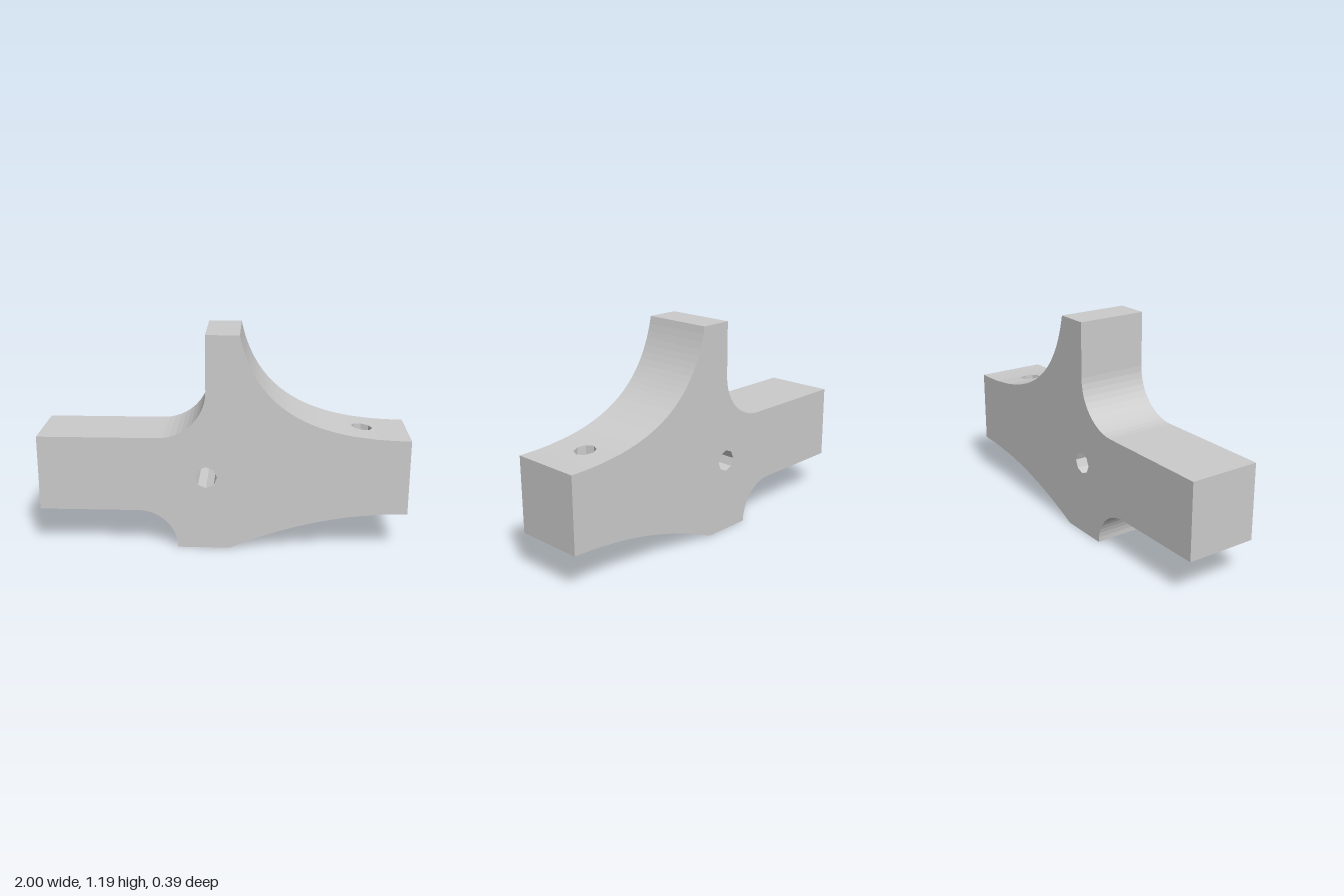
import * as THREE from 'three';
import { mergeGeometries } from 'three/addons/utils/BufferGeometryUtils.js';

const HALF = 0.197;                       // half thickness
const X0 = 0.69, X1 = 0.82;               // strip of the arm pierced by the upright bore
const TOP = [0.653, 0.637], BOTTOM = [0.193, 0.207];
const BORE = { x: 0.755, z: -0.008, r: 0.058 };

const V = (x, y) => new THREE.Vector2(x, y);
const heightAt = (ends, x) => THREE.MathUtils.mapLinear(x, X0, X1, ends[0], ends[1]);
const octagon = (x, y, r) => Array.from({ length: 8 }, (_, i) =>
  V(x + r * Math.cos(i * Math.PI / 4), y + r * Math.sin(i * Math.PI / 4)));

// Points of an arc about a centre
function arc(cx, cy, r, from, to, n = 12) {
  return Array.from({ length: n + 1 }, (_, i) => {
    const a = from + (to - from) * i / n;
    return V(cx + r * Math.cos(a), cy + r * Math.sin(a));
  });
}

// Curve points running left to right, with one straight step across the bore strip
function withStrip(points, ends) {
  return [
    ...points.filter(p => p.x < X0 - 0.005),
    V(X0, ends[0]), V(X1, ends[1]),
    ...points.filter(p => p.x > X1 + 0.005),
  ];
}

// Extruded profile, left open where the bore strips go
function bodyGeometry() {
  const upper = new THREE.CubicBezierCurve(V(0.09, 1.19), V(0.17, 0.81), V(0.45, 0.63), V(1, 0.63));
  const lower = new THREE.QuadraticBezierCurve(V(0.04, 0), V(0.52, 0.215), V(1, 0.215));
  const shape = new THREE.Shape([
    ...withStrip(lower.getPoints(24), BOTTOM),
    ...withStrip(upper.getPoints(28), TOP).reverse(),
    V(-0.09, 1.19),
    ...arc(-0.35, 0.89, 0.26, 0, -Math.PI / 2),
    V(-1, 0.63), V(-1, 0.215),
    ...arc(-0.46, 0, 0.215, Math.PI / 2, 0),
  ]);
  shape.holes.push(new THREE.Path(octagon(-0.09, 0.41, 0.06)));
  const solid = new THREE.ExtrudeGeometry(shape, { depth: 2 * HALF, bevelEnabled: false });
  solid.translate(0, 0, -HALF);

  const p = solid.attributes.position, kept = [];
  for (let i = 0; i < p.count; i += 3) {
    const ids = [i, i + 1, i + 2];
    const inStrip = ids.every(k => p.getX(k) > X0 - 1e-4 && p.getX(k) < X1 + 1e-4);
    const isWall = ids.some(k => Math.abs(p.getZ(k) - p.getZ(i)) > 1e-4);
    if (!(inStrip && isWall)) ids.forEach(k => kept.push(p.getX(k), p.getY(k), p.getZ(k)));
  }
  return fromPositions(kept);
}

function fromPositions(list) {
  const g = new THREE.BufferGeometry();
  g.setAttribute('position', new THREE.Float32BufferAttribute(list, 3));
  g.computeVertexNormals();
  return g;
}

// Sloped strip with the bore opening; sign +1 faces up, -1 faces down
function stripGeometry(ends, sign) {
  const shape = new THREE.Shape([V(X0, -HALF), V(X1, -HALF), V(X1, HALF), V(X0, HALF)]);
  shape.holes.push(new THREE.Path(octagon(BORE.x, -sign * BORE.z, BORE.r)));
  const flat = new THREE.ShapeGeometry(shape).toNonIndexed();
  const p = flat.attributes.position, list = [];
  for (let i = 0; i < p.count; i++) {
    list.push(p.getX(i), heightAt(ends, p.getX(i)), -sign * p.getY(i));
  }
  return fromPositions(list);
}

// Inner wall of the upright bore
function boreGeometry() {
  const ring = octagon(BORE.x, BORE.z, BORE.r), list = [];
  ring.forEach((a, i) => {
    const b = ring[(i + 1) % ring.length];
    const at = (q, ends) => [q.x, heightAt(ends, q.x), q.y];
    list.push(...at(a, TOP), ...at(b, BOTTOM), ...at(b, TOP));
    list.push(...at(a, TOP), ...at(a, BOTTOM), ...at(b, BOTTOM));
  });
  return fromPositions(list);
}

export function createModel() {
  const group = new THREE.Group();
  group.name = 'bracket';
  const material = new THREE.MeshStandardMaterial({ color: 0xcccccc, flatShading: true });
  const add = (name, geometry) => {
    const mesh = new THREE.Mesh(geometry, material);
    mesh.name = name;
    group.add(mesh);
  };
  add('body', mergeGeometries([bodyGeometry(), stripGeometry(TOP, 1), stripGeometry(BOTTOM, -1)]));
  add('uprightBore', boreGeometry());
  return group;
}
